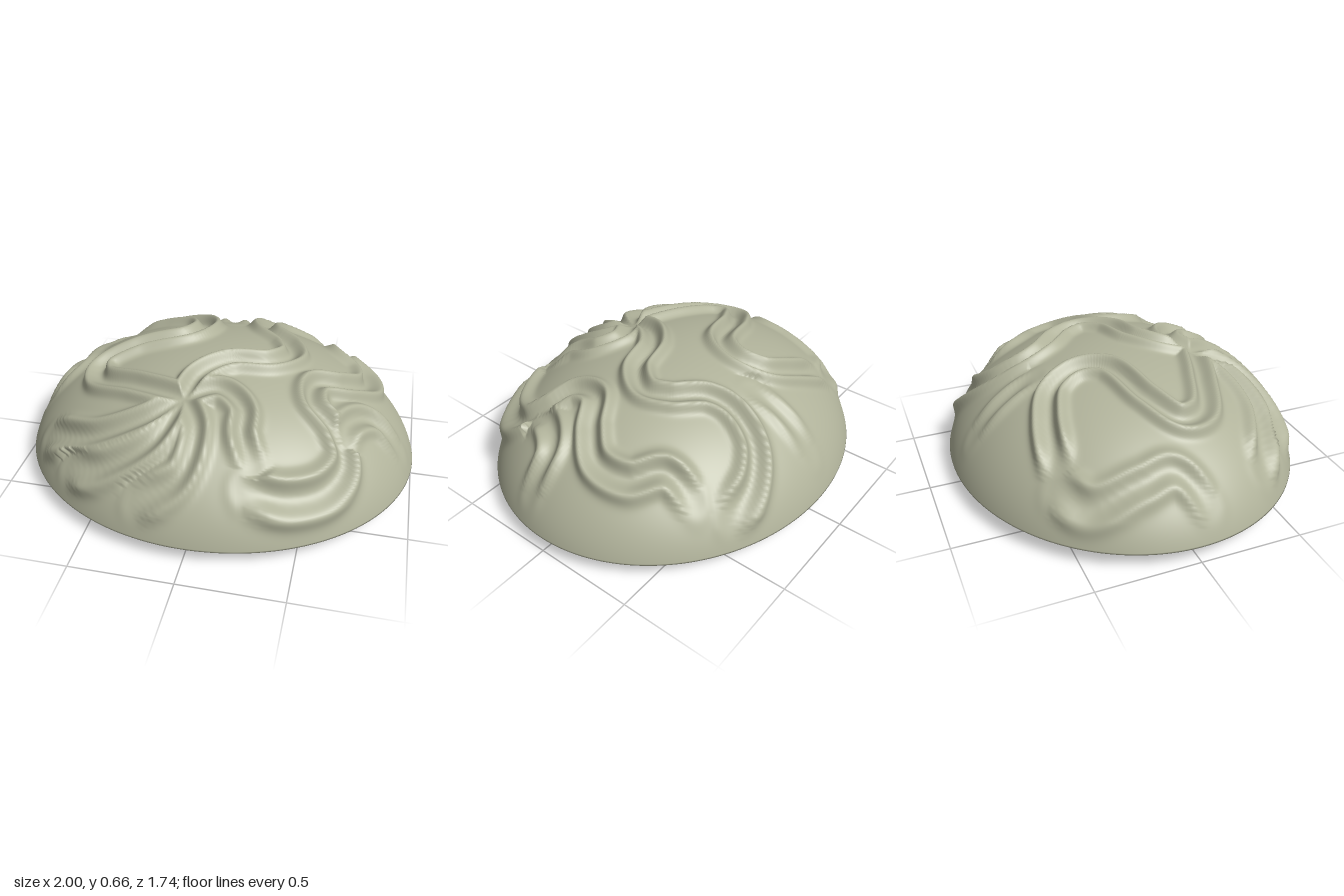
import * as THREE from 'three';

const DEPTH = 0.87;          // z radius (x radius is 1)
const CENTRE = -0.04;        // height of the ellipsoid centre
const HEIGHT = 0.655;        // ellipsoid height above that centre
const RIM = Math.acos(0.125 / HEIGHT);
const SEGMENTS = 320, RINGS = 130;

// Winding furrows in plan: strength, then [x, z] points
const FURROWS = [
  [1, [-0.58, -0.51], [-0.35, -0.47], [-0.2, -0.4], [-0.14, -0.26], [-0.2, -0.13], [-0.45, -0.04],
    [-0.6, 0.07], [-0.57, 0.19], [-0.35, 0.29], [-0.1, 0.37]],
  [1, [-0.1, 0.37], [-0.06, 0.22], [0.06, 0.1], [0.25, 0.04], [0.34, -0.08], [0.3, -0.2],
    [0.18, -0.33], [0.15, -0.45], [0.2, -0.6], [0.32, -0.68], [0.5, -0.69]],
  [1, [0.57, -0.55], [0.58, -0.4], [0.7, -0.28], [0.72, -0.12], [0.62, 0], [0.48, 0.1],
    [0.48, 0.22], [0.6, 0.32], [0.66, 0.43], [0.6, 0.56], [0.45, 0.66], [0.24, 0.7]],
  [0.8, [0.92, 0.13], [0.76, 0.13], [0.66, 0.24], [0.64, 0.36]],
  [0.7, [-0.62, -0.54], [-0.77, -0.42], [-0.8, -0.2], [-0.8, -0.05], [-0.93, 0.07]],
  [0.5, [-0.06, -0.76], [-0.05, -0.6], [-0.03, -0.44]],
  [1, [-0.1, 0.37], [-0.26, 0.48], [-0.5, 0.52], [-0.8, 0.4]],
  [0.9, [-0.1, 0.37], [-0.2, 0.58], [-0.4, 0.65], [-0.62, 0.6]],
  [0.8, [-0.1, 0.37], [-0.01, 0.52], [-0.04, 0.7], [-0.24, 0.78]],
  [0.9, [-0.1, 0.37], [0.06, 0.3], [0.18, 0.38], [0.2, 0.5], [0.27, 0.61]],
];

// Samples along every furrow, fading out at the free ends
function sampleFurrows() {
  const samples = [];
  for (const [strength, ...points] of FURROWS) {
    const curve = new THREE.CatmullRomCurve3(points.map(([x, z]) => new THREE.Vector3(x, 0, z)));
    const length = curve.getLength();
    const count = Math.ceil(length / 0.012);
    const joined = ([x, z]) => x === -0.1 && z === 0.37;
    const first = joined(points[0]), last = joined(points[points.length - 1]);
    curve.getSpacedPoints(count).forEach((p, i) => {
      const s = (i / count) * length;
      const toEnd = Math.min(first ? 1 : s, last ? 1 : length - s);
      const fade = THREE.MathUtils.smoothstep(toEnd, -0.04, 0.14);
      samples.push({ x: p.x, z: p.z, strength: strength * fade });
    });
  }
  return samples;
}

// Raised lips either side of a shallow channel
function relief(x, z, samples) {
  let best = Infinity, strength = 0;
  for (const s of samples) {
    const d = (s.x - x) ** 2 + (s.z - z) ** 2;
    if (d < best) { best = d; strength = s.strength; }
  }
  const d = Math.sqrt(best);
  const lip = 0.042 * Math.exp(-(((d - 0.056) / 0.027) ** 2));
  const channel = 0.01 * Math.exp(-((d / 0.03) ** 2));
  return strength * (lip - channel);
}

function domeGeometry() {
  const samples = sampleFurrows();
  const positions = [], index = [];
  const normal = new THREE.Vector3();
  const addPoint = (theta, phi) => {
    const rho = Math.sin(theta) / Math.sin(RIM);
    const x = rho * Math.cos(phi), z = rho * DEPTH * Math.sin(phi);
    const y = CENTRE + HEIGHT * Math.cos(theta);
    normal.set(x, (y - CENTRE) / HEIGHT ** 2, z / DEPTH ** 2).normalize();
    const keepRim = THREE.MathUtils.smoothstep(1 - rho, 0, 0.06);
    const d = relief(x, z, samples) * keepRim;
    positions.push(x + normal.x * d, y + normal.y * d, z + normal.z * d);
  };

  // Top pole, rings down to the rim, then the underside tip
  addPoint(0, 0);
  for (let r = 1; r <= RINGS; r++) {
    for (let s = 0; s < SEGMENTS; s++) addPoint((r / RINGS) * RIM, (s / SEGMENTS) * Math.PI * 2);
  }
  const tip = positions.length / 3;
  positions.push(0, 0, 0);

  const at = (r, s) => 1 + (r - 1) * SEGMENTS + (s % SEGMENTS);
  for (let s = 0; s < SEGMENTS; s++) {
    index.push(0, at(1, s + 1), at(1, s));
    for (let r = 1; r < RINGS; r++) {
      const a = at(r, s), b = at(r, s + 1), c = at(r + 1, s), d = at(r + 1, s + 1);
      index.push(a, b, c, b, d, c);
    }
    index.push(tip, at(RINGS, s), at(RINGS, s + 1));
  }

  const geometry = new THREE.BufferGeometry();
  geometry.setAttribute('position', new THREE.Float32BufferAttribute(positions, 3));
  geometry.setIndex(index);
  geometry.computeVertexNormals();
  return geometry;
}

export function createModel() {
  const group = new THREE.Group();
  group.name = 'furrowedDome';
  const dome = new THREE.Mesh(domeGeometry(), new THREE.MeshStandardMaterial({ color: 0xb0b29a }));
  dome.name = 'dome';
  group.add(dome);
  return group;
}
